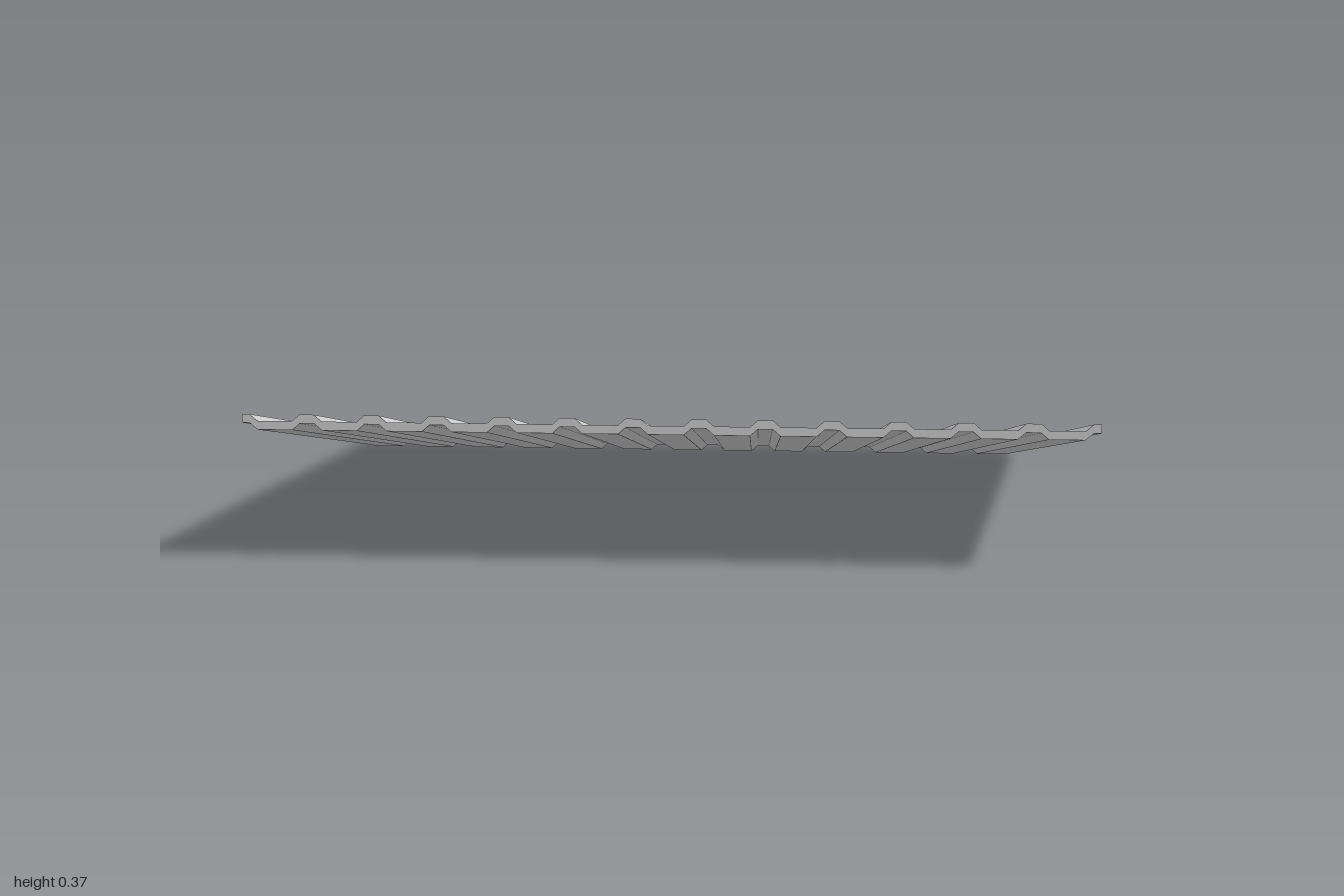
import * as THREE from 'three';

const PERIODS = 13, WIDTH = 1.985, PITCH = WIDTH / PERIODS;
const HALF_TOP = 0.017, HALF_BASE = 0.035, RIB = 0.016;
const FRONT = { x: -0.985, y: 0.33, z: 0.655 };
const BACK = { x: -1, y: 0, z: -0.585 };
const UPPER = 0.021; // height of the top skin above the bottom skin
const FLAP_Y = UPPER + RIB + 0.002;

const material = new THREE.MeshStandardMaterial({
  color: 0xcccccc, flatShading: true, side: THREE.DoubleSide,
});

// Ribbed cross-section, starting and ending halfway across a rib
function profile(end, lift, rib = RIB) {
  const points = [];
  const add = (x, y) => points.push(new THREE.Vector3(end.x + x, end.y + lift + y, end.z));
  add(0, rib);
  for (let i = 0; i < PERIODS; i++) {
    const x0 = i * PITCH, x1 = x0 + PITCH;
    add(x0 + HALF_TOP, rib);
    add(x0 + HALF_BASE, 0);
    add(x1 - HALF_BASE, 0);
    add(x1 - HALF_TOP, rib);
  }
  add(WIDTH, rib);
  return points;
}

// Surface between two matching lines of points
function strip(name, a, b) {
  const corners = [];
  for (let i = 0; i < a.length - 1; i++) {
    corners.push(a[i], b[i], b[i + 1], a[i], b[i + 1], a[i + 1]);
  }
  const geometry = new THREE.BufferGeometry().setFromPoints(corners);
  geometry.computeVertexNormals();
  const mesh = new THREE.Mesh(geometry, material);
  mesh.name = name;
  return mesh;
}

export function createModel() {
  const group = new THREE.Group();
  group.name = 'ribbedRoofPanel';

  const topBack = profile(BACK, UPPER), topFront = profile(FRONT, UPPER);
  const lowBack = profile(BACK, 0), lowFront = profile(FRONT, 0);

  // Sloping skins, rising towards the front
  group.add(strip('topSkin', topBack, topFront));
  group.add(strip('bottomSkin', lowFront, lowBack));

  // Front edge closing the gap between the skins
  group.add(strip('frontEdge', topFront, lowFront));

  // Back wall rising from the troughs to the flap
  const ribLine = topBack.map((p) => new THREE.Vector3(p.x, FLAP_Y, p.z));
  group.add(strip('backWall', ribLine, topBack));

  // Flat flap along the low back edge
  const ends = [ribLine[0], ribLine[ribLine.length - 1]];
  const outer = ends.map((p) => new THREE.Vector3(p.x, FLAP_Y - 0.003, -0.66));
  group.add(strip('backFlap', outer, ends));

  return group;
}
